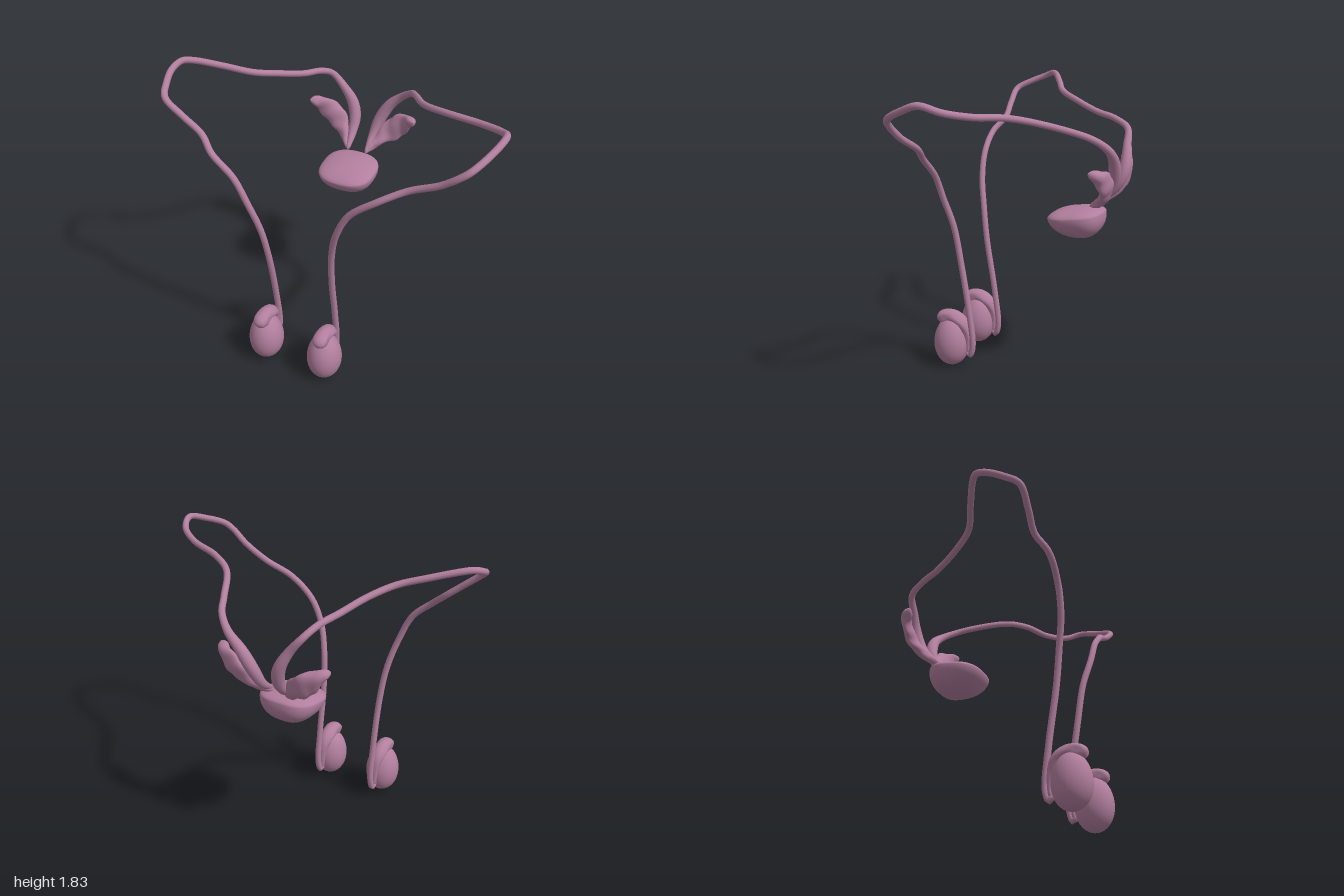
import * as THREE from 'three';

const tissue = new THREE.MeshStandardMaterial({ color: 0xb27f9e, roughness: 0.7 });
const mid = -0.11; // x of the bladder and of the vesicle pair

// Sweeps an oval section along a smooth path. size(u, angle) gives the two half widths;
// "hint" fixes the direction of the first one.
function sweep(name, points, rings, sides, size, hint) {
  const curve = new THREE.CatmullRomCurve3(points.map(p => new THREE.Vector3(...p)), false, 'centripetal');
  curve.arcLengthDivisions = 600;
  const frames = curve.computeFrenetFrames(rings, false);
  const pos = [], index = [];
  for (let i = 0; i <= rings; i++) {
    const u = i / rings;
    const c = curve.getPointAt(u), t = frames.tangents[i];
    const n = hint ? hint.clone().addScaledVector(t, -hint.dot(t)).normalize() : frames.normals[i];
    const b = new THREE.Vector3().crossVectors(t, n);
    for (let j = 0; j < sides; j++) {
      const a = j / sides * Math.PI * 2;
      const [wn, wb] = size(u, a);
      const p = c.clone().addScaledVector(n, Math.cos(a) * wn).addScaledVector(b, Math.sin(a) * wb);
      pos.push(p.x, p.y, p.z);
      if (i < rings) {
        const k = (j + 1) % sides, r0 = i * sides, r1 = r0 + sides;
        index.push(r0 + j, r0 + k, r1 + j, r0 + k, r1 + k, r1 + j);
      }
    }
  }
  const geo = new THREE.BufferGeometry();
  geo.setAttribute('position', new THREE.Float32BufferAttribute(pos, 3));
  geo.setIndex(index);
  geo.computeVertexNormals();
  const mesh = new THREE.Mesh(geo, tissue);
  mesh.name = name;
  return mesh;
}

// Moves the vertices of a unit sphere by a rule
function shapedSphere(name, rule) {
  const geo = new THREE.SphereGeometry(1, 48, 32);
  const p = geo.attributes.position, v = new THREE.Vector3();
  for (let i = 0; i < p.count; i++) {
    rule(v.fromBufferAttribute(p, i));
    p.setXYZ(i, v.x, v.y, v.z);
  }
  geo.computeVertexNormals();
  const mesh = new THREE.Mesh(geo, tissue);
  mesh.name = name;
  return mesh;
}

// Rounds off both ends of a sweep
const endCap = (u, len) => {
  const d = Math.min(1, Math.min(u, 1 - u) / len);
  return Math.max(0.02, Math.sqrt(1 - (1 - d) ** 2));
};
const bump = (u, at, width) => Math.exp(-(((u - at) / width) ** 2));

const leftDuct = [
  [-0.04, 1.10, -0.40], [-0.035, 1.18, -0.50], [-0.01, 1.28, -0.55], [0.05, 1.39, -0.57],
  [0.14, 1.475, -0.56], [0.22, 1.54, -0.50], [0.28, 1.585, -0.40], [0.41, 1.65, -0.20],
  [0.56, 1.685, -0.107], [0.78, 1.71, -0.03], [0.93, 1.745, 0.07], [0.975, 1.78, 0.17],
  [0.945, 1.745, 0.29], [0.88, 1.69, 0.41], [0.83, 1.65, 0.43], [0.73, 1.575, 0.425],
  [0.56, 1.49, 0.42], [0.40, 1.40, 0.47], [0.25, 1.275, 0.475], [0.17, 1.12, 0.465],
  [0.12, 0.94, 0.425], [0.10, 0.70, 0.39], [0.097, 0.40, 0.345], [0.095, 0.15, 0.322],
  [0.09, 0.085, 0.345], [0.085, 0.12, 0.37],
];
const rightDuct = [
  [-0.165, 1.10, -0.40], [-0.175, 1.18, -0.50], [-0.18, 1.26, -0.55], [-0.205, 1.35, -0.57],
  [-0.26, 1.45, -0.56], [-0.33, 1.54, -0.54], [-0.37, 1.59, -0.45], [-0.42, 1.62, -0.32],
  [-0.50, 1.675, -0.16], [-0.60, 1.72, -0.03], [-0.75, 1.765, 0.05], [-0.90, 1.805, 0.13],
  [-0.95, 1.81, 0.17], [-0.973, 1.785, 0.24], [-0.95, 1.745, 0.34], [-0.91, 1.70, 0.42],
  [-0.80, 1.61, 0.425], [-0.69, 1.52, 0.42], [-0.60, 1.44, 0.47], [-0.47, 1.32, 0.475],
  [-0.395, 1.157, 0.465], [-0.34, 0.96, 0.43], [-0.315, 0.75, 0.40], [-0.31, 0.40, 0.345],
  [-0.312, 0.15, 0.322], [-0.318, 0.085, 0.345], [-0.322, 0.12, 0.37],
];

function testis(side, cx, cy) {
  const g = new THREE.Group();
  g.name = side + 'Testis';
  // egg, slightly narrower at the top
  g.add(shapedSphere(side + 'TestisBody', v => {
    const taper = 1 - 0.07 * v.y;
    v.set(v.x * 0.107 * taper, v.y * 0.163, v.z * 0.114 * taper);
  }));
  // crescent draped over the top and down the back
  g.add(sweep(side + 'Epididymis',
    [[0, 0.125, 0.085], [0, 0.16, 0.045], [0, 0.165, -0.02], [0, 0.13, -0.08],
      [0, 0.04, -0.115], [0, -0.05, -0.12], [0, -0.09, -0.11]], 48, 20,
    (u, a) => {
      const r = (0.018 + 0.03 * (1 - THREE.MathUtils.smoothstep(u, 0.3, 0.9))) * endCap(u, 0.12);
      const crease = 1 - 0.12 * Math.cos(4 * a) * Math.sin(u * 12);
      return [r * crease, r * 0.9];
    }, new THREE.Vector3(1, 0, 0)));
  g.position.set(cx, cy, 0.475);
  return g;
}

export function createModel() {
  const model = new THREE.Group();
  model.name = 'reproductiveTract';

  // Bladder: rounded square in plan, flat sloping top, deep rounded bottom
  model.add(shapedSphere('bladder', v => {
    const r = Math.hypot(v.x, v.z) || 1;
    const p = 2.7, c = Math.abs(v.x) / r, s = Math.abs(v.z) / r;
    const square = Math.min(1.2, 1 / (c ** p + s ** p) ** (1 / p));
    const low = Math.max(0, -v.y), back = -v.z;
    v.set(mid + v.x * 0.18 * square,
      1.03 + v.y * (v.y > 0 ? 0.05 : 0.14) + 0.022 * back * (1 - low),
      -0.298 + v.z * 0.17 * square - 0.025 * low);
  }));

  // Ducts: widened near the bladder, then an even cord looping to the testis
  for (const [name, path] of [['leftDuct', leftDuct], ['rightDuct', rightDuct]]) {
    model.add(sweep(name, path, 260, 14, u => {
      const r = (0.0195 + 0.018 * bump(u, 0.07, 0.045)) * endCap(u, 0.008) * (1 - 0.35 * bump(u, 0, 0.02));
      return [r, r];
    }));
  }

  // Seminal vesicles: lumpy flattened leaves, mirrored about the bladder
  for (const [side, s] of [['left', 1], ['right', -1]]) {
    const path = [[0.06, 1.10, -0.41], [0.10, 1.145, -0.475], [0.17, 1.215, -0.53],
      [0.25, 1.285, -0.54], [0.31, 1.33, -0.52], [0.355, 1.355, -0.475]];
    model.add(sweep(side + 'SeminalVesicle', path.map(([x, y, z]) => [mid + s * x, y, z]), 56, 28,
      (u, a) => {
        const w = (0.02 + 0.05 * bump(u, 0.58, 0.3)) * endCap(u, 0.14);
        const lump = 1 + 0.07 * Math.sin(u * 24 + 2 * a) + 0.05 * Math.sin(u * 13 - 3 * a);
        return [Math.min(w, 0.03) * lump, w * lump];
      }, new THREE.Vector3(-0.1 * s, 0.2, 1).normalize()));
  }

  // Testes with their epididymides
  model.add(testis('left', 0.085, 0.167), testis('right', -0.322, 0.175));
  return model;
}
